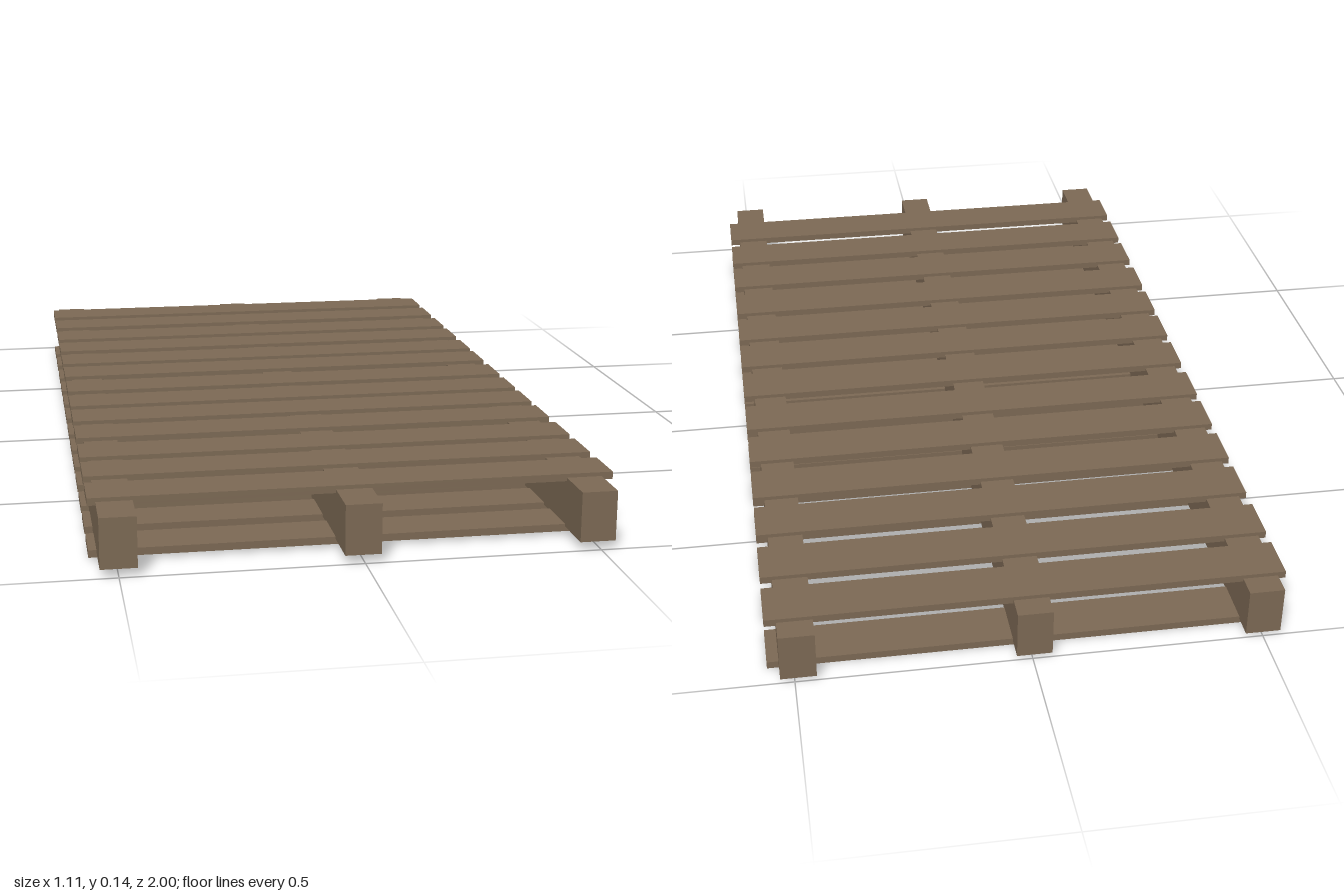
import * as THREE from 'three';

export function createModel() {
  const model = new THREE.Group();
  model.name = 'pallet';
  const wood = new THREE.MeshStandardMaterial({ color: 0x7d6a55 });
  wood.name = 'weathered wood';

  // The whole pallet leans up very slightly towards the front.
  const frame = new THREE.Group();
  frame.name = 'palletFrame';
  frame.rotation.x = -0.0043;
  model.add(frame);

  const addBoard = (name, size, position) => {
    const mesh = new THREE.Mesh(new THREE.BoxGeometry(...size), wood);
    mesh.name = name;
    mesh.position.set(...position);
    frame.add(mesh);
  };

  // Three long beams
  [-0.5, -0.004, 0.492].forEach((x, i) =>
    addBoard(`beam${i + 1}`, [0.076, 0.108, 2], [x, 0.069, 0]));

  // Unevenly spaced slats, nailed above and below the beams
  const slatZ = [-0.896, -0.752, -0.6, -0.457, -0.31, -0.171, -0.019,
    0.124, 0.261, 0.403, 0.555, 0.696, 0.844];
  slatZ.forEach((z, i) => {
    addBoard(`topSlat${i + 1}`, [1.11, 0.016, 0.106], [0, 0.1235, z]);
    addBoard(`bottomSlat${i + 1}`, [1.11, 0.016, 0.106], [0, 0.0123, z]);
  });

  return model;
}
